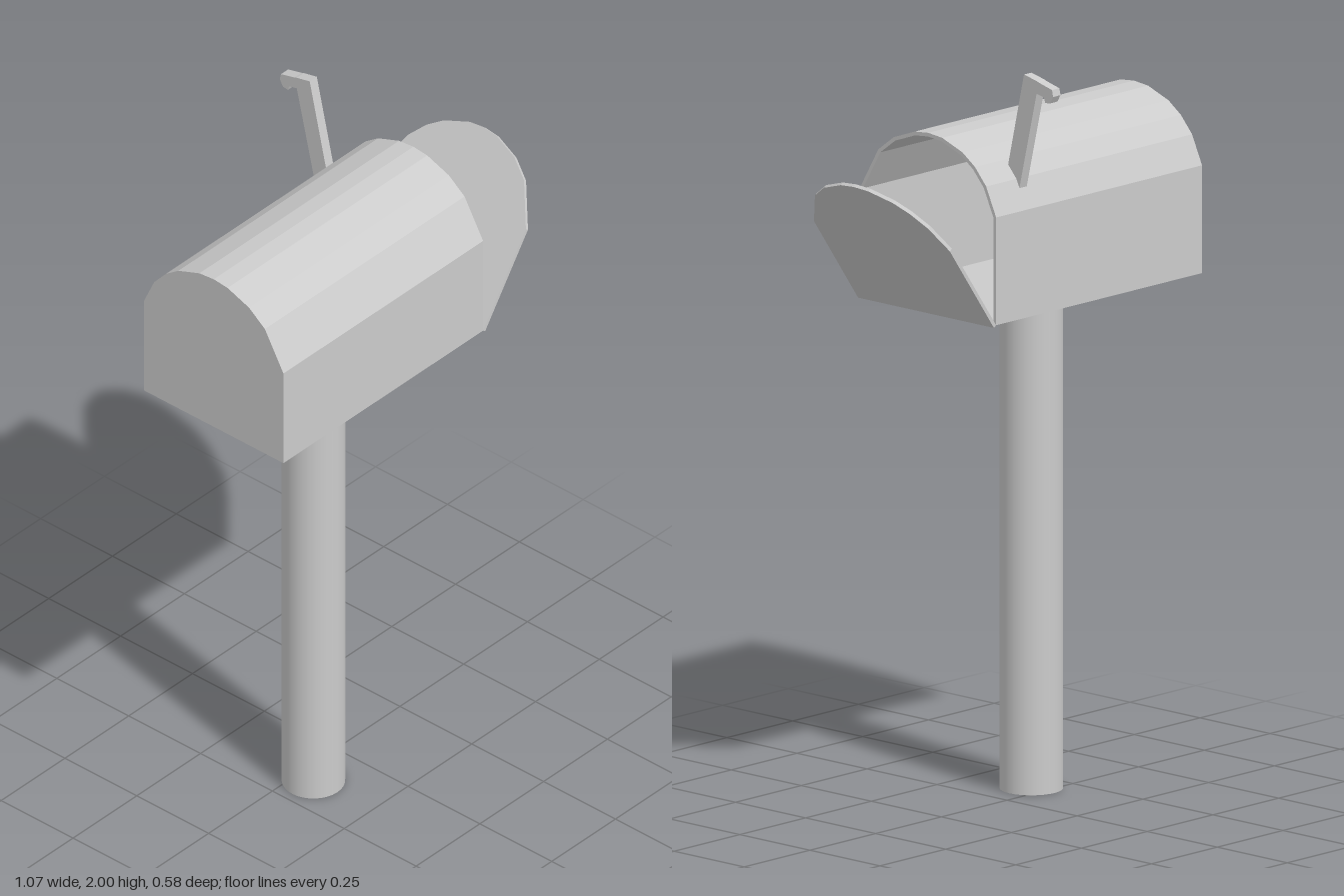
import * as THREE from 'three';

const HALF = 0.2425, FLOOR = 1.35, HEIGHT = 0.475, RADIUS = 0.251;
const MID_Z = 0.047, BACK_X = -0.533, FRONT_X = 0.25, WALL = 0.01;

export function createModel() {
  const group = new THREE.Group();
  const material = new THREE.MeshStandardMaterial({ color: 0xcccccc });

  function add(name, geometry) {
    const mesh = new THREE.Mesh(geometry, material);
    mesh.name = name;
    group.add(mesh);
    return mesh;
  }

  // Extrude a side profile along +x; profile coordinates are (-z, y)
  function extrudeX(shape, depth) {
    return new THREE.ExtrudeGeometry(shape, { depth, bevelEnabled: false }).rotateY(Math.PI / 2);
  }

  // Flat floor, straight walls and a faceted arched roof, inset by a wall thickness
  const roof = [0.2425, 0.207, 0.167, 0.123, 0.05, 0, -0.048, -0.123, -0.178, -0.2425];
  function archPoints(inset = 0) {
    const w = HALF - inset, r = RADIUS - inset;
    const points = [new THREE.Vector2(-w, inset), new THREE.Vector2(w, inset)];
    for (const offset of roof) {
      const x = offset * w / HALF;
      points.push(new THREE.Vector2(x, HEIGHT - RADIUS + Math.sqrt(r * r - x * x)));
    }
    return points;
  }

  // Post
  const post = add('post', new THREE.CylinderGeometry(0.083, 0.083, FLOOR, 32));
  post.position.set(-0.142, FLOOR / 2, MID_Z);

  // Hollow box, open at the +x end
  const shell = new THREE.Shape(archPoints());
  shell.holes.push(new THREE.Path(archPoints(WALL)));
  add('boxShell', extrudeX(shell, FRONT_X - BACK_X - WALL)).position.set(BACK_X + WALL, FLOOR, MID_Z);

  // Closed end
  add('endPanel', extrudeX(new THREE.Shape(archPoints()), WALL)).position.set(BACK_X, FLOOR, MID_Z);

  // Door hinged open at the floor edge
  const door = add('door', extrudeX(new THREE.Shape(archPoints()), WALL));
  door.position.set(FRONT_X, FLOOR, MID_Z);
  door.rotation.z = -0.62;

  // Raised signal flag with a small hooked tip
  const flag = new THREE.Shape([
    [0.12, 1.703], [0.17, 1.69], [0.232, 1.956], [0.258, 1.95], [0.263, 1.936],
    [0.28, 1.938], [0.291, 1.957], [0.287, 1.975], [0.24, 1.987], [0.232, 1.99], [0.187, 2.0],
  ].map(([x, y]) => new THREE.Vector2(x, y)));
  add('signalFlag', extrudeX(flag, 0.028)).position.x = 0.107;

  return group;
}
